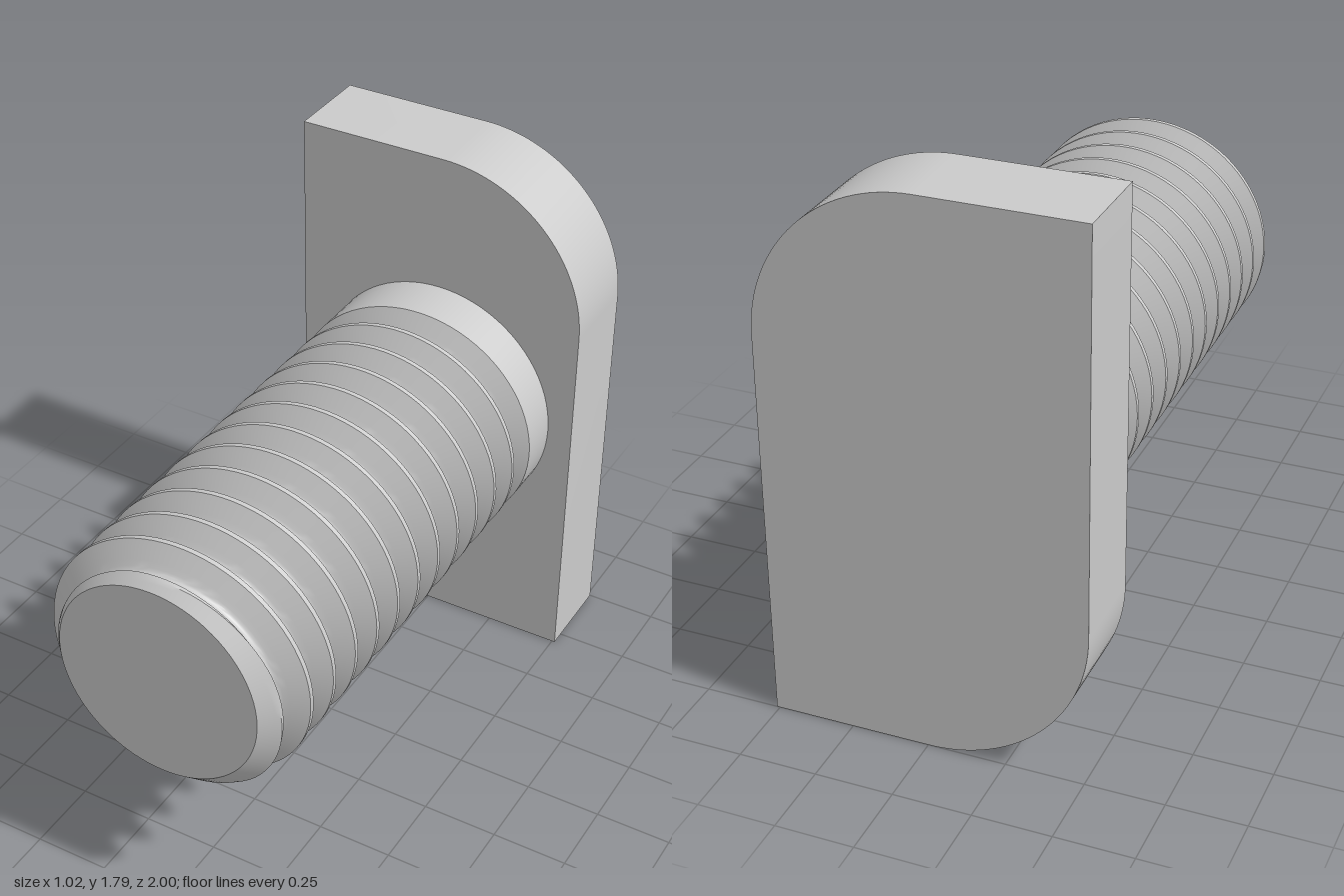
import * as THREE from 'three';
import { toCreasedNormals } from 'three/addons/utils/BufferGeometryUtils.js';

const CY = 0.895;               // height of the bolt axis
const BACK = -0.7, FRONT = 1;   // shank ends along z
const CREST = 0.425, PITCH = 0.128, TIP = 0.34;
const SEGS = 80;
const TAU = Math.PI * 2;

// Half of one thread groove, crest centre to root centre: [offset along z, depth]
const FLANK = [[0, 0], [0.008, 0], [0.018, 0.018], [0.027, 0.034], [0.037, 0.052],
  [0.046, 0.068], [0.051, 0.075], [0.057, 0.079], [0.064, 0.08]];
const GROOVE = [...FLANK, ...FLANK.slice(1, -1).reverse().map(([t, d]) => [PITCH - t, d])];

// Helical rows of vertices, clipped to the shank's ends and to the tip chamfer
function threadedShank() {
  const rows = [];
  for (let k = -7; k <= 9; k++) for (const [t, d] of GROOVE) rows.push([k * PITCH, t, d]);

  const point = (j, [base, t, d]) => {
    const a = (j / SEGS) * TAU;
    const crestZ = -0.056 + (PITCH * j) / SEGS + base;
    const z = THREE.MathUtils.clamp(crestZ + t, BACK, FRONT);
    // the groove runs out into the plain neck at its rear end
    const phi = (TAU * (crestZ + PITCH / 2 + 0.536)) / PITCH;
    const fade = THREE.MathUtils.clamp((phi + 0.7) / 0.7, 0, 1);
    const r = Math.min(CREST - d * fade, TIP + (FRONT - z));
    return new THREE.Vector3(r * Math.cos(a), r * Math.sin(a), z);
  };

  const out = [];
  const area = new THREE.Triangle();
  const tri = (a, b, c) => {
    if (area.set(a, b, c).getArea() > 1e-8) for (const p of [a, b, c]) out.push(p.x, p.y, p.z);
  };
  for (let j = 0; j < SEGS; j++) {
    for (let i = 0; i < rows.length - 1; i++) {
      const a = point(j, rows[i]), b = point(j + 1, rows[i]);
      const c = point(j + 1, rows[i + 1]), d = point(j, rows[i + 1]);
      tri(a, b, c);
      tri(a, c, d);
    }
  }
  const geo = new THREE.BufferGeometry();
  geo.setAttribute('position', new THREE.Float32BufferAttribute(out, 3));
  return toCreasedNormals(geo, 0.6);
}

// Plate with two opposite corners rounded
function headPlate() {
  const w = 0.51, h = CY, r = 0.51;
  const s = new THREE.Shape();
  s.moveTo(w, -h);
  s.lineTo(w, h - r);
  s.absarc(w - r, h - r, r, 0, Math.PI / 2, false);
  s.lineTo(-w, h);
  s.lineTo(-w, -h + r);
  s.absarc(-w + r, -h + r, r, Math.PI, Math.PI * 1.5, false);
  s.closePath();
  const geo = new THREE.ExtrudeGeometry(s, { depth: 0.3, bevelEnabled: false, curveSegments: 16 });
  return toCreasedNormals(geo, 0.5);
}

export function createModel() {
  const group = new THREE.Group();
  group.name = 'tHeadBolt';
  const material = new THREE.MeshStandardMaterial({ color: 0xcccccc });

  const add = (name, geo, z) => {
    const mesh = new THREE.Mesh(geo, material);
    mesh.name = name;
    mesh.position.set(0, CY, z);
    group.add(mesh);
  };
  add('head', headPlate(), -1);
  add('threadedShank', threadedShank(), 0);
  add('tipFace', new THREE.CircleGeometry(TIP, SEGS), FRONT);
  return group;
}
